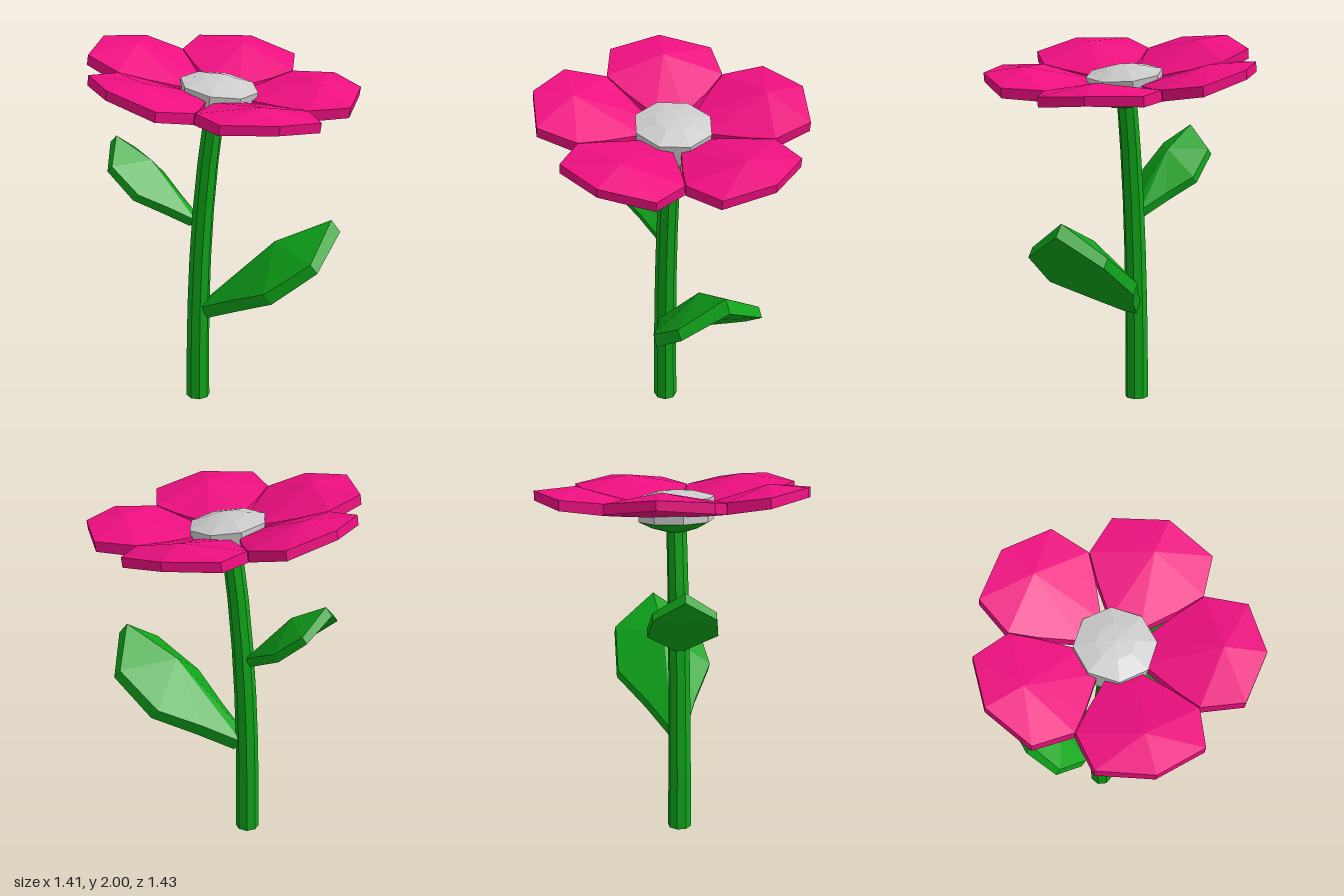
import * as THREE from 'three';

const material = (color) => new THREE.MeshStandardMaterial({ color, flatShading: true });
const green = material(0x0fa51a);
const pink = material(0xee0f80);
const grey = material(0xcccccc);

function addMesh(parent, name, geometry, mat) {
  const mesh = new THREE.Mesh(geometry, mat);
  mesh.name = name;
  parent.add(mesh);
  return mesh;
}

// Faceted blade along +x: rows of [length, half width, top, bottom] from base to tip,
// mirrored across its middle and fanned from a raised peak [length, top, bottom].
function bladeGeometry(rows, peak) {
  const half = rows.map(([u, v, top, bottom]) => ({ u, v, top, bottom }));
  const mirrored = half.slice(0, -1).reverse().map((p) => ({ ...p, v: -p.v }));
  const outline = [...half, ...mirrored];
  const [u, top, bottom] = peak;
  const positions = [];
  outline.forEach((a, i) => {
    const b = outline[(i + 1) % outline.length];
    const at = [a.u, a.top, a.v], bt = [b.u, b.top, b.v];
    const ab = [a.u, a.bottom, a.v], bb = [b.u, b.bottom, b.v];
    positions.push(...[u, top, 0], ...at, ...bt); // upper face
    positions.push(...ab, ...bb, ...bt, ...ab, ...bt, ...at); // rim
    positions.push(...[u, bottom, 0], ...bb, ...ab); // lower face
  });
  const geometry = new THREE.BufferGeometry();
  geometry.setAttribute('position', new THREE.Float32BufferAttribute(positions, 3));
  geometry.computeVertexNormals();
  return geometry;
}

function lathe(profile) {
  return new THREE.LatheGeometry(profile.map(([r, y]) => new THREE.Vector2(r, y)), 8);
}

// Octagonal stem that leans further over towards its top
function stemGeometry() {
  const height = 1.69;
  const geometry = new THREE.CylinderGeometry(0.055, 0.065, height, 8, 6, false, Math.PI / 8);
  geometry.translate(0, height / 2, 0);
  const p = geometry.attributes.position;
  for (let i = 0; i < p.count; i++) {
    const t = Math.max(0, p.getY(i) / height);
    p.setX(i, p.getX(i) - 0.13 + 0.1 * t ** 2.5);
  }
  geometry.translate(0, 0, 0.03);
  geometry.computeVertexNormals();
  return geometry;
}

export function createModel() {
  const model = new THREE.Group();
  model.name = 'flower';

  addMesh(model, 'stem', stemGeometry(), green);

  // Leaves share one shape
  const leaf = bladeGeometry([
    [0, 0.04, 0.03, -0.044],
    [0.22, 0.14, -0.005, -0.08],
    [0.45, 0.265, -0.043, -0.112],
    [0.75, 0.235, -0.05, -0.11],
    [0.91, 0, 0.037, -0.043],
  ], [0.578, 0.107, -0.05]);
  const largeLeaf = addMesh(model, 'largeLeaf', leaf, green);
  largeLeaf.position.set(-0.09, 0.54, 0.03);
  largeLeaf.rotation.set(0, 0.02, 0.664);
  const smallLeaf = addMesh(model, 'smallLeaf', leaf, green);
  smallLeaf.position.set(-0.14, 1.06, 0.025);
  smallLeaf.rotation.set(0, Math.PI - 0.13, 0.72);
  smallLeaf.scale.setScalar(0.69);

  // Tilted flower head
  const head = new THREE.Group();
  head.name = 'flowerHead';
  head.position.set(-0.01, 1.8, 0.03);
  head.rotation.z = -0.134;
  model.add(head);

  addMesh(head, 'calyx', lathe([[0, -0.14], [0.06, -0.14], [0.13, -0.12], [0.2, -0.085], [0, -0.085]]), green);
  addMesh(head, 'flowerCentre', lathe([[0, -0.085], [0.2, -0.085], [0.21, 0.04], [0.1, 0.07], [0, 0.08]]), grey);

  // Five petals around the centre
  const petal = bladeGeometry([
    [0.15, 0.08, 0, -0.05],
    [0.31, 0.22, 0.03, -0.025],
    [0.43, 0.31, 0.055, -0.005],
    [0.65, 0.275, 0.08, 0.025],
    [0.745, 0, 0.105, 0.055],
  ], [0.53, 0.12, 0.04]);
  for (let i = 0; i < 5; i++) {
    const mesh = addMesh(head, `petal${i + 1}`, petal, pink);
    mesh.rotation.y = Math.PI / 2 + (i * Math.PI * 2) / 5;
  }

  return model;
}
